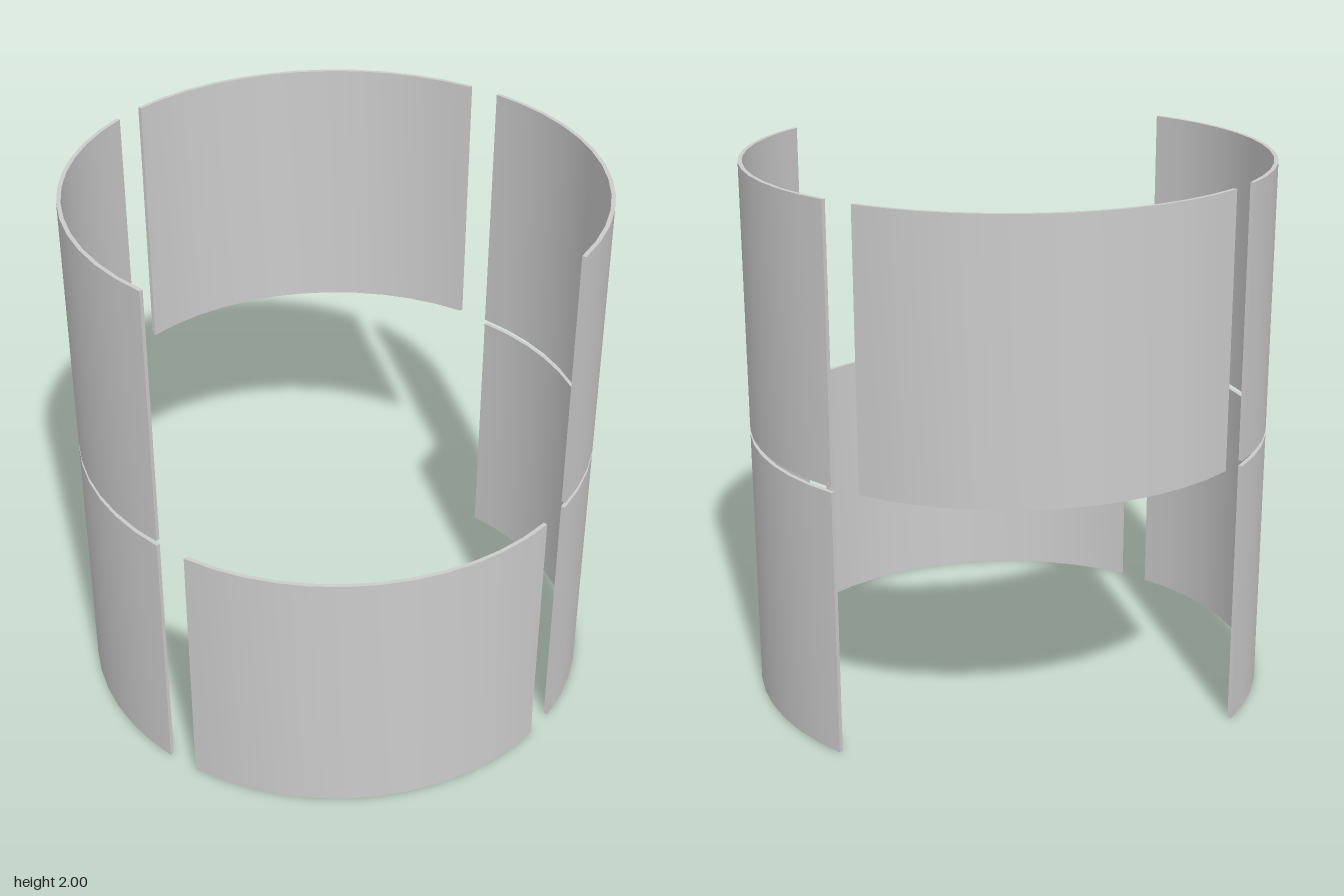
import * as THREE from 'three';
import { toCreasedNormals } from 'three/addons/utils/BufferGeometryUtils.js';

const OUTER = 0.96, INNER = 0.945, HEIGHT = 0.99;
const HALF_ARC = THREE.MathUtils.degToRad(41.4);

// Thin curved panel, standing on y = 0 and facing +z
function panelGeometry() {
  const shape = new THREE.Shape();
  const mid = -Math.PI / 2;
  shape.absarc(0, 0, OUTER, mid - HALF_ARC, mid + HALF_ARC, false);
  shape.absarc(0, 0, INNER, mid + HALF_ARC, mid - HALF_ARC, true);
  shape.closePath();
  const geometry = new THREE.ExtrudeGeometry(shape, { depth: HEIGHT, bevelEnabled: false, curveSegments: 6 });
  geometry.rotateX(-Math.PI / 2);
  return toCreasedNormals(geometry, 0.5);
}

export function createModel() {
  const group = new THREE.Group();
  group.name = 'curvedPanels';
  const material = new THREE.MeshStandardMaterial({ color: 0xcccccc });
  const geometry = panelGeometry();
  const turns = { Front: 0, Left: Math.PI / 2, Back: Math.PI, Right: -Math.PI / 2 };

  // The lower ring is open at the back, the upper ring at the front
  const rings = [
    { name: 'lower', y: 0, sides: ['Front', 'Left', 'Right'] },
    { name: 'upper', y: 2 - HEIGHT, sides: ['Back', 'Left', 'Right'] },
  ];
  for (const ring of rings) {
    for (const side of ring.sides) {
      const panel = new THREE.Mesh(geometry, material);
      panel.name = `${ring.name}${side}Panel`;
      panel.position.y = ring.y;
      panel.rotation.y = turns[side];
      group.add(panel);
    }
  }
  return group;
}
